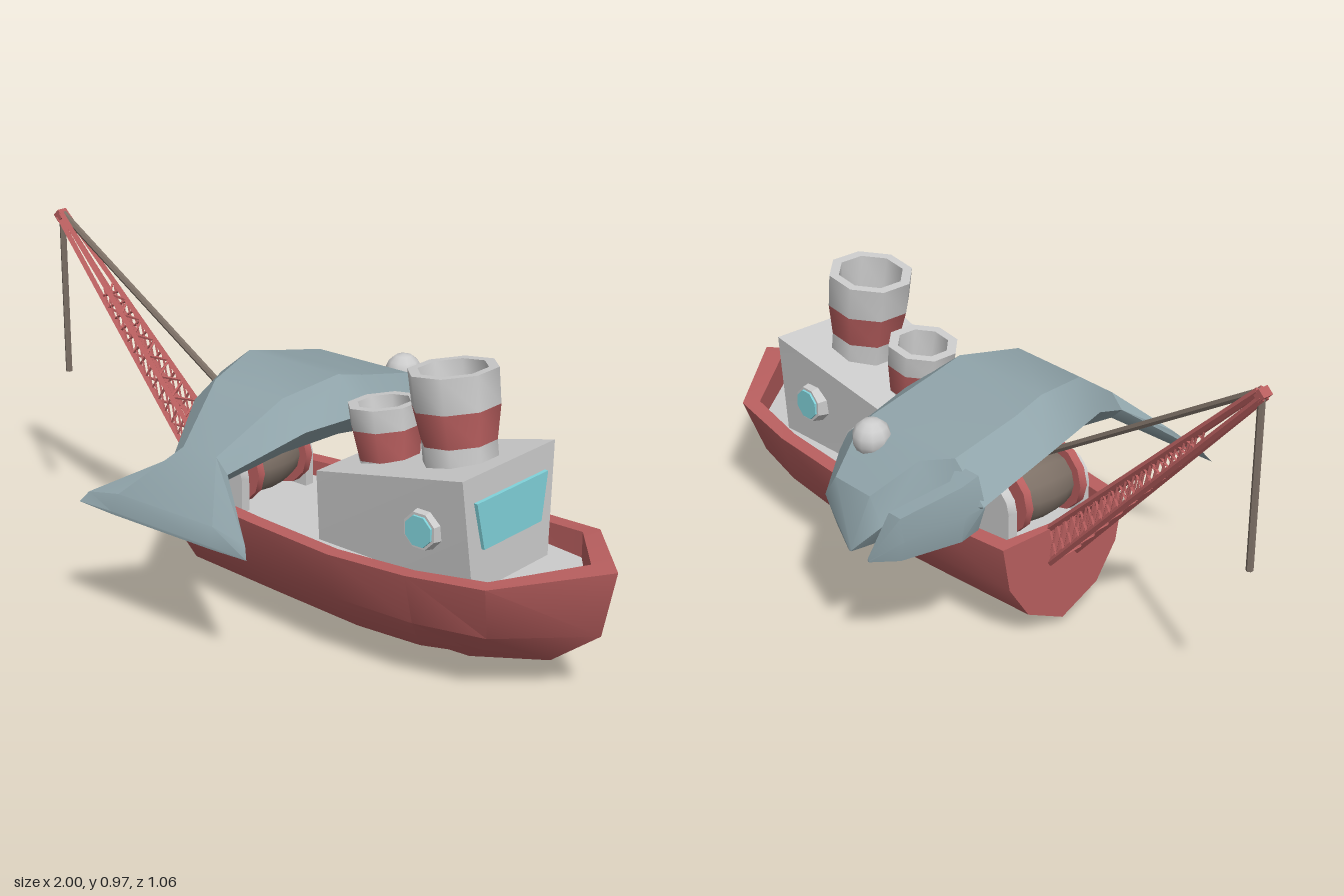
import * as THREE from 'three';
import { toCreasedNormals } from 'three/addons/utils/BufferGeometryUtils.js';

const mat = (color) => new THREE.MeshStandardMaterial({ color, side: THREE.DoubleSide });
const grey = mat(0xcccccc), red = mat(0xb95f5f), cyan = mat(0x80d2da), skin = mat(0x8fa3a9), rope = mat(0x7d7066);

export function createModel() {
  const model = new THREE.Group();
  const boat = new THREE.Group();
  boat.name = 'boat';
  boat.position.z = 0.02;
  model.add(boat);

  const add = (parent, name, geometry, material, x = 0, y = 0, z = 0) => {
    const mesh = new THREE.Mesh(geometry, material);
    mesh.name = name;
    mesh.position.set(x, y, z);
    parent.add(mesh);
    return mesh;
  };

  // Skin a row of closed rings, cap both ends and face it outwards
  const loft = (rings, crease = 0.6) => {
    const n = rings[0].length, p = rings.flat(), tris = [];
    for (let i = 0; i < rings.length - 1; i++) {
      for (let j = 0; j < n; j++) {
        const a = i * n + j, b = i * n + (j + 1) % n;
        tris.push([a, b, b + n], [a, b + n, a + n]);
      }
    }
    const e = (rings.length - 1) * n;
    for (let j = 1; j < n - 1; j++) tris.push([0, j + 1, j], [e, e + j, e + j + 1]);
    const v = p.map((q) => new THREE.Vector3(...q));
    const solid = tris.filter(([a, b, c]) =>
      v[b].clone().sub(v[a]).cross(v[c].clone().sub(v[a])).length() > 1e-7);
    const volume = solid.reduce((s, [a, b, c]) => s + v[a].dot(v[b].clone().cross(v[c])), 0);
    const g = new THREE.BufferGeometry();
    g.setAttribute('position', new THREE.Float32BufferAttribute(p.flat(), 3));
    g.setIndex(solid.flatMap(([a, b, c]) => (volume < 0 ? [a, c, b] : [a, b, c])));
    return toCreasedNormals(g, crease);
  };

  // Straight square or round bar between two points
  const bar = (parent, name, a, b, r, material, sides = 4) => {
    const p = new THREE.Vector3(...a), d = new THREE.Vector3(...b).sub(p);
    const g = toCreasedNormals(new THREE.CylinderGeometry(r, r, d.length(), sides), 0.9);
    const mesh = add(parent, name, g, material);
    mesh.position.copy(p).addScaledVector(d, 0.5);
    mesh.quaternion.setFromUnitVectors(new THREE.Vector3(0, 1, 0), d.normalize());
  };

  // Hull: each station runs gunwale, bilge, chine, keel, as [x, y, half width]
  const stations = [
    [[-0.33, 0.325, 0.225], [-0.33, 0.19, 0.2], [-0.33, 0.085, 0.13], [-0.33, 0.022, 0]],
    [[0, 0.325, 0.265], [0, 0.19, 0.235], [0, 0.08, 0.15], [0, 0.018, 0]],
    [[0.3, 0.325, 0.293], [0.3, 0.19, 0.26], [0.3, 0.075, 0.165], [0.3, 0.005, 0]],
    [[0.55, 0.335, 0.286], [0.55, 0.19, 0.25], [0.5, 0.075, 0.15], [0.42, 0.002, 0]],
    [[0.78, 0.352, 0.255], [0.75, 0.19, 0.2], [0.65, 0.075, 0.09], [0.48, 0.001, 0]],
    [[1, 0.377, 0], [0.96, 0.19, 0], [0.81, 0.075, 0], [0.55, 0.003, 0]],
  ];
  const deckY = 0.275;
  const innerX = [-0.295, 0, 0.3, 0.55, 0.755, 0.92];
  const innerW = stations.map(([t]) => Math.max(0, t[2] - 0.045));
  add(boat, 'hull', loft(stations.map((s, i) => {
    const port = s.map(([x, y, w]) => [x, y, w]);
    const starboard = s.slice(0, 3).reverse().map(([x, y, w]) => [x, y, -w]);
    const x = innerX[i], w = innerW[i], y = s[0][1];
    return [...port, ...starboard, [x, y, -w], [x, deckY, -w], [x, deckY, w], [x, y, w]];
  })), red);

  // Deck plate
  const outline = innerX.map((x, i) => new THREE.Vector2(x, innerW[i]));
  const mirrored = outline.slice(0, -1).reverse().map((p) => new THREE.Vector2(p.x, -p.y));
  const deck = new THREE.ShapeGeometry(new THREE.Shape([...outline, ...mirrored]));
  add(boat, 'deck', deck.rotateX(-Math.PI / 2), grey, 0, deckY + 0.004);

  // Cabin with slanted roof and flared sides
  const slab = (xb, xt, yb, yt, wb, wt) => [[xb, yb, wb], [xt, yt, wt], [xt, yt, -wt], [xb, yb, -wb]];
  add(boat, 'cabin', loft([
    slab(0.15, 0.15, 0.27, 0.48, 0.148, 0.16),
    slab(0.677, 0.662, 0.27, 0.592, 0.165, 0.2),
  ], 0.1), grey);
  add(boat, 'frontWindow', loft([
    slab(0.64, 0.635, 0.39, 0.522, 0.125, 0.154),
    slab(0.681, 0.676, 0.39, 0.522, 0.125, 0.154),
  ], 0.1), cyan);

  // Portholes on both sides
  for (const s of [-1, 1]) {
    const disc = (r1, r2, h) => toCreasedNormals(
      new THREE.CylinderGeometry(r1, r2, h, 8).rotateY(Math.PI / 8).rotateX(s * Math.PI / 2), 0.5);
    add(boat, 'portholeFrame', disc(0.052, 0.065, 0.06), grey, 0.53, 0.425, s * 0.172);
    add(boat, 'portholeGlass', disc(0.044, 0.05, 0.06), cyan, 0.53, 0.425, s * 0.178);
  }

  // Arched door on the rear side
  const arch = new THREE.Shape();
  arch.moveTo(-0.06, 0);
  arch.lineTo(0.06, 0);
  arch.lineTo(0.06, 0.09);
  arch.absarc(0, 0.09, 0.06, 0, Math.PI, false);
  arch.closePath();
  add(boat, 'door', new THREE.ExtrudeGeometry(arch, { depth: 0.055, bevelEnabled: false, curveSegments: 6 }),
    grey, 0.31, deckY, -0.194);

  // Funnels: grey foot, flared red band, hollow grey top
  const funnel = (x, y, r0, r1, y1, y2, y3) => {
    const g = new THREE.Group();
    g.name = 'funnel';
    g.position.set(x, y, 0);
    g.rotation.z = 0.13;
    boat.add(g);
    const part = (name, pts, material) => add(g, name, toCreasedNormals(new THREE.LatheGeometry(
      pts.map((p) => new THREE.Vector2(...p)), 8, Math.PI / 8), 0.9), material);
    part('funnelFoot', [[r0, -0.04], [r0, y1]], grey);
    part('funnelBand', [[r0, y1], [r1, y2]], red);
    part('funnelTop', [[r1, y2], [r1 + 0.003, y3], [r1 - 0.025, y3], [r1 - 0.035, y3 - 0.1], [0, y3 - 0.1]], grey);
  };
  funnel(0.51, 0.53, 0.103, 0.12, 0.08, 0.175, 0.272);
  funnel(0.27, 0.5, 0.086, 0.099, 0.01, 0.095, 0.157);

  // Winch: rope drum, red cheeks and grey stands
  const drum = new THREE.LatheGeometry([[0.07, -0.1], [0.088, -0.05], [0.092, 0], [0.088, 0.05], [0.07, 0.1]]
    .map((p) => new THREE.Vector2(...p)), 12).rotateX(Math.PI / 2);
  add(boat, 'ropeDrum', drum, rope, -0.2, 0.385);
  for (const s of [-1, 1]) {
    const cheek = new THREE.CylinderGeometry(0.1, 0.1, 0.025, 12).rotateX(Math.PI / 2);
    add(boat, 'drumCheek', toCreasedNormals(cheek, 0.7), red, -0.2, 0.385, s * 0.1);
    add(boat, 'winchStand', new THREE.BoxGeometry(0.14, 0.1, 0.03), grey, -0.2, 0.325, s * 0.135);
    const cap = new THREE.CylinderGeometry(0.07, 0.07, 0.03, 12).rotateX(Math.PI / 2);
    add(boat, 'winchBearing', toCreasedNormals(cap, 0.7), grey, -0.2, 0.375, s * 0.135);
  }

  // Crane: four chords meeting at the tip, laced with thin zigzag braces
  const crane = new THREE.Group();
  crane.name = 'crane';
  boat.add(crane);
  const mix = (a, b, t) => a + (b - a) * t;
  const chord = (upper, s, t) => [
    mix(-0.325, upper ? -0.975 : -0.988, t),
    mix(upper ? 0.325 : 0.215, upper ? 0.965 : 0.952, t),
    s * mix(0.05, 0.008, t),
  ];
  for (const s of [-1, 1]) {
    for (const u of [0, 1]) bar(crane, 'craneChord', chord(u, s, 0), chord(u, s, 1), 0.01, red);
  }
  const steps = 18;
  for (let i = 0; i < steps; i++) {
    const t0 = i / steps * 0.72, t1 = (i + 1) / steps * 0.72, u = i % 2;
    for (const s of [-1, 1]) {
      bar(crane, 'sideBrace', chord(u, s, t0), chord(1 - u, s, t1), 0.004, red);
      bar(crane, 'sideBrace', chord(1 - u, s, t0), chord(u, s, t1), 0.004, red);
    }
    for (const k of [0, 1]) bar(crane, 'crossBrace', chord(k, u ? 1 : -1, t0), chord(k, u ? -1 : 1, t1), 0.004, red);
  }
  add(crane, 'craneTip', new THREE.BoxGeometry(0.026, 0.026, 0.032), red, -0.982, 0.957).rotation.z = 0.75;
  bar(crane, 'hoistRope', [-0.2, 0.475, 0], [-0.975, 0.962, 0], 0.01, rope, 6);
  bar(crane, 'hangingRope', [-0.98, 0.955, 0], [-0.98, 0.47, 0], 0.01, rope, 6);

  // Fish lying on its side across the deck: [z, min x, max x, top y, bottom y]
  const fish = new THREE.Group();
  fish.name = 'fish';
  model.add(fish);
  const fishLoft = (rows) => loft(rows.map(([z, x0, x1, top, bottom]) => {
    const c = (x0 + x1) / 2, w = (x1 - x0) / 2, m = (top + bottom) / 2;
    return [[c + w, m, z], [c + 0.6 * w, top, z], [c - 0.6 * w, top, z],
      [c - w, m, z], [c - 0.6 * w, bottom, z], [c + 0.6 * w, bottom, z]];
  }), 0.5);
  add(fish, 'fishBody', fishLoft([
    [0.528, -0.4, 0.215, 0.358, 0.35],
    [0.51, -0.38, 0.195, 0.405, 0.36],
    [0.375, -0.19, 0.01, 0.53, 0.45],
    [0.19, -0.285, 0.12, 0.66, 0.505],
    [0, -0.36, 0.18, 0.687, 0.515],
    [-0.1, -0.37, 0.185, 0.66, 0.5],
    [-0.31, -0.37, 0.182, 0.612, 0.415],
    [-0.36, -0.26, 0.155, 0.59, 0.395],
    [-0.48, -0.165, 0.07, 0.505, 0.36],
    [-0.53, -0.1, -0.085, 0.36, 0.35],
  ]), skin);
  add(fish, 'fishJaw', fishLoft([
    [-0.3, -0.365, -0.23, 0.59, 0.43],
    [-0.35, -0.345, -0.27, 0.57, 0.41],
    [-0.48, -0.255, -0.18, 0.49, 0.365],
    [-0.53, -0.172, -0.165, 0.36, 0.35],
  ]), skin);
  const eye = new THREE.SphereGeometry(0.054, 10, 7);
  add(fish, 'fishEyeTop', eye, grey, 0.01, 0.588, -0.365);
  add(fish, 'fishEyeBottom', eye, grey, 0.01, 0.447, -0.28);

  return model;
}
